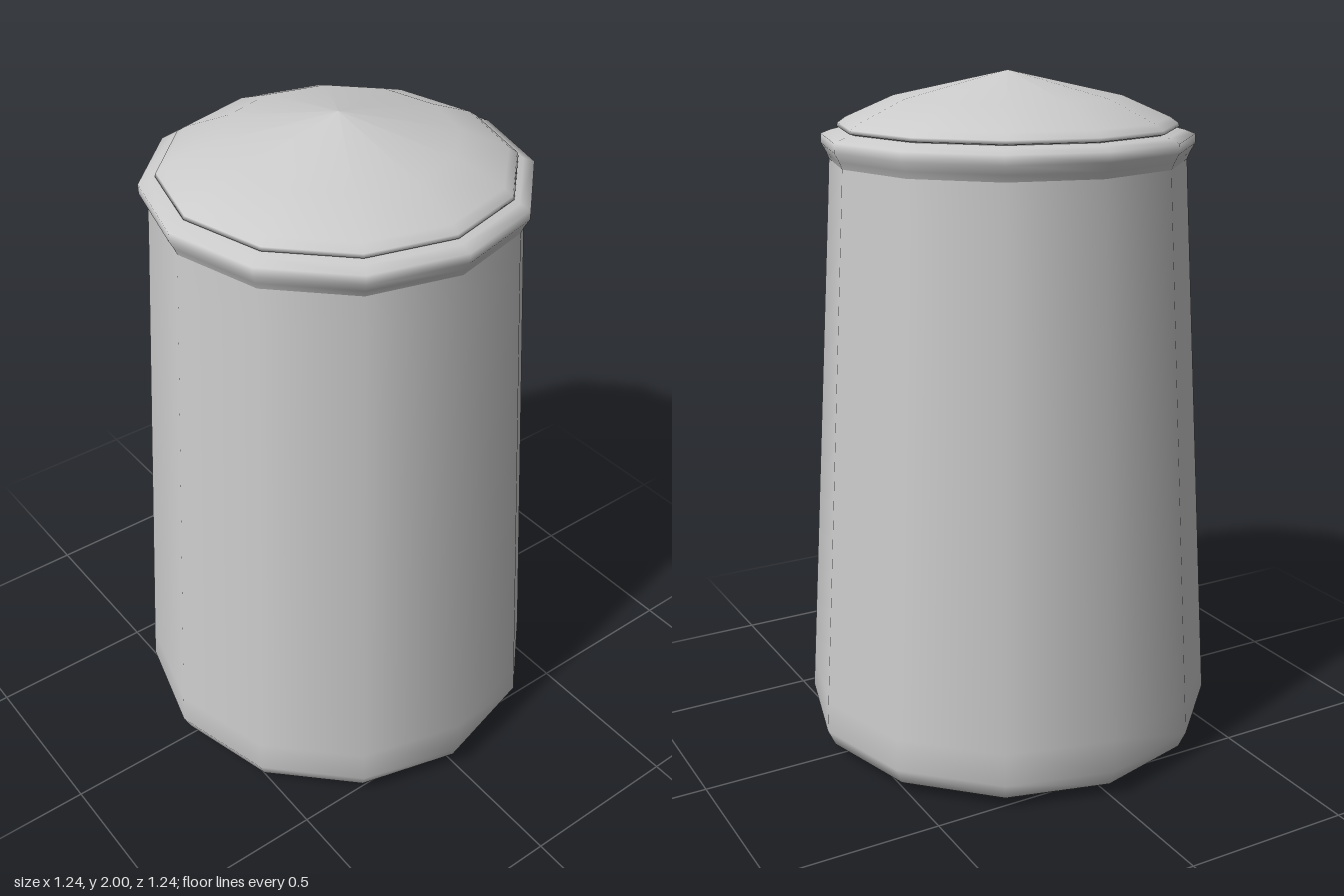
import * as THREE from 'three';

const SIDES = 12;
const material = new THREE.MeshStandardMaterial({ color: 0xcccccc });

// Turn a [radius, height] profile, listed from bottom to top, into a 12-sided part
function turned(name, profile) {
  const points = profile.map(([r, y]) => new THREE.Vector2(r, y));
  const mesh = new THREE.Mesh(new THREE.LatheGeometry(points, SIDES), material);
  mesh.name = name;
  return mesh;
}

export function createModel() {
  const model = new THREE.Group();
  model.name = 'canister';

  // Flat underside
  model.add(turned('base', [[0, 0], [0.54, 0]]));

  // Tapered wall with a bevelled foot
  model.add(turned('body', [
    [0.54, 0], [0.595, 0.035], [0.618, 0.085], [0.612, 0.18], [0.52, 1.65], [0.514, 1.755],
  ]));

  // Flared collar around the mouth
  model.add(turned('rim', [
    [0.514, 1.75], [0.522, 1.77], [0.536, 1.795], [0.536, 1.822], [0.505, 1.834], [0.48, 1.84],
  ]));

  // Shallow domed lid with a rounded edge
  model.add(turned('lid', [
    [0.47, 1.838], [0.49, 1.843], [0.486, 1.853], [0.462, 1.87], [0.325, 1.93], [0, 2],
  ]));

  return model;
}
